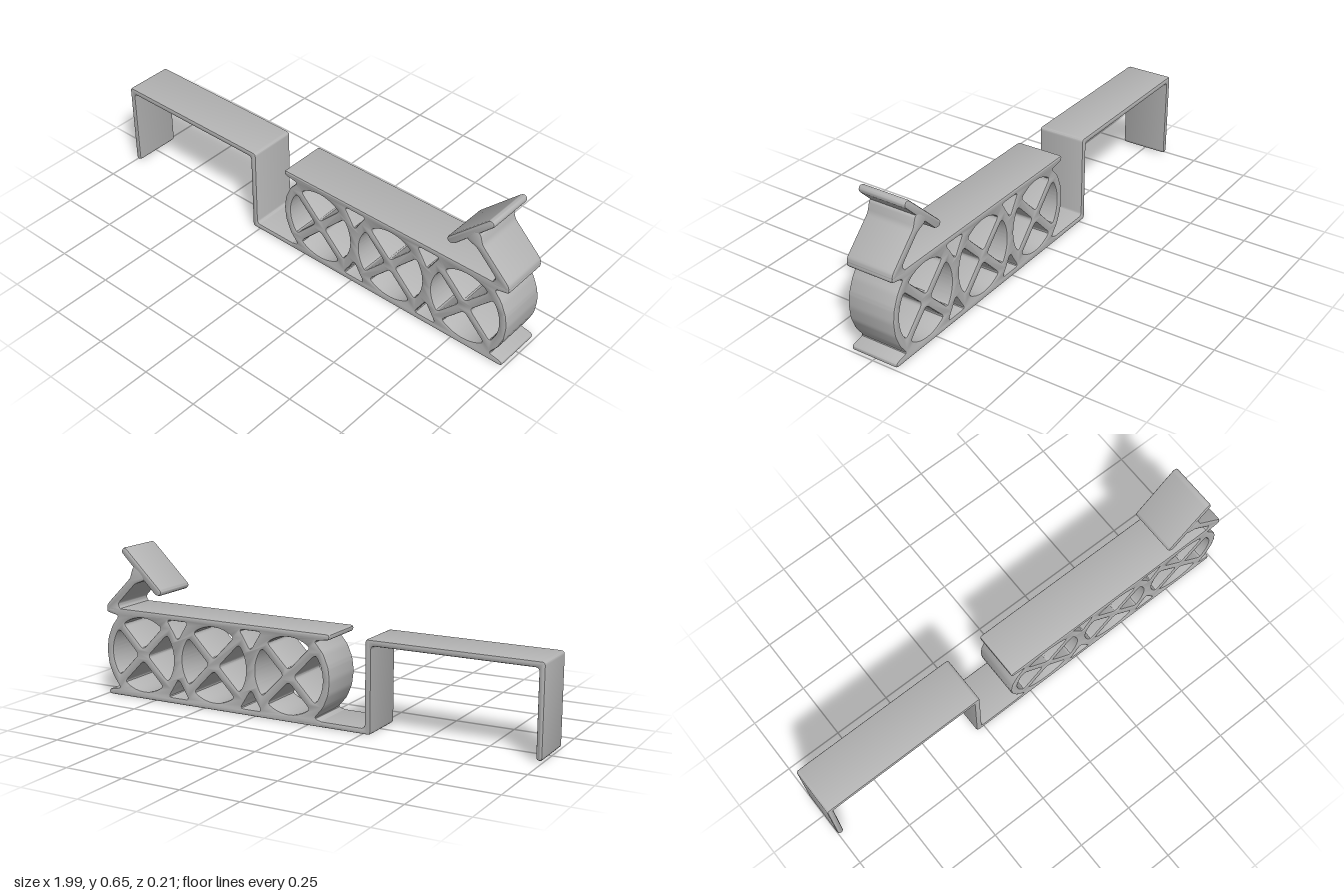
import * as THREE from 'three';
import { toCreasedNormals } from 'three/addons/utils/BufferGeometryUtils.js';

const DEPTH = 0.21, BEVEL = 0.008;

// Trace a closed polygon with rounded corners into a Shape or Path.
function rounded(path, pts, radius) {
  const v = pts.map(([x, y]) => new THREE.Vector2(x, y));
  v.forEach((p, i) => {
    const a = v[(i + v.length - 1) % v.length], b = v[(i + 1) % v.length];
    const toward = (q) => p.clone().lerp(q, Math.min(0.45, radius / p.distanceTo(q)));
    const s = toward(a), e = toward(b);
    if (i === 0) path.moveTo(s.x, s.y); else path.lineTo(s.x, s.y);
    path.quadraticCurveTo(p.x, p.y, e.x, e.y);
  });
  path.closePath();
  return path;
}

export function createModel() {
  const group = new THREE.Group();
  const material = new THREE.MeshStandardMaterial({ color: 0xb4b4b4 });
  material.name = 'plainGrey';

  function addPart(name, shape) {
    const geo = new THREE.ExtrudeGeometry(shape, {
      depth: DEPTH - 2 * BEVEL, bevelEnabled: true, bevelSize: BEVEL, bevelThickness: BEVEL,
      bevelOffset: -BEVEL, bevelSegments: 2, curveSegments: 3,
    });
    geo.translate(0, 0, BEVEL - DEPTH / 2);
    const mesh = new THREE.Mesh(toCreasedNormals(geo, 0.6), material);
    mesh.name = name;
    group.add(mesh);
  }

  // Hook strap: down-turned end, top run, drop and short foot
  addPart('hookStrap', rounded(new THREE.Shape(), [
    [-1, 0.01], [-0.974, 0.01], [-0.974, 0.364], [-0.287, 0.364], [-0.287, 0.004],
    [0.05, 0.004], [0.05, 0.03], [-0.26, 0.03], [-0.26, 0.39], [-1, 0.39],
  ], 0.014));

  // Cage: two rails joined by three touching rings, cut from one outline
  const leftSide = [
    [-0.102, 0.39], [-0.102, 0.366], [-0.035, 0.356], [-0.075, 0.31], [-0.098, 0.255],
    [-0.105, 0.2], [-0.098, 0.14], [-0.075, 0.085], [-0.035, 0.038], [-0.075, 0.028], [-0.075, 0.004],
  ];
  const rightSide = [
    [0.99, 0.004], [0.99, 0.026], [0.93, 0.038], [0.965, 0.085], [0.988, 0.14],
    [0.995, 0.2], [0.988, 0.255], [0.965, 0.31], [0.93, 0.356], [0.99, 0.368], [0.99, 0.39],
  ];
  const cage = rounded(new THREE.Shape(), [...leftSide, ...rightSide], 0.012);

  // Four openings in each ring leave a diagonal cross
  const cy = 0.198, rx = 0.157, ry = 0.161, centres = [0.086, 0.445, 0.803];
  for (const cx of centres) {
    for (let q = 0; q < 4; q++) {
      const mid = q * Math.PI / 2, pts = [];
      pts.push([cx + 0.027 * Math.cos(mid), cy + 0.027 * Math.sin(mid)]);
      for (let k = 0; k <= 8; k++) {
        const a = mid + (k / 8 - 0.5) * 2 * 0.665;
        pts.push([cx + rx * Math.cos(a), cy + ry * Math.sin(a)]);
      }
      cage.holes.push(rounded(new THREE.Path(), pts, 0.016));
    }
  }

  // Small triangular openings between neighbouring rings
  for (let i = 0; i < 2; i++) {
    const x = (centres[i] + centres[i + 1]) / 2;
    for (const s of [1, -1]) {
      cage.holes.push(rounded(new THREE.Path(), [
        [x - 0.05, cy + s * 0.166], [x + 0.05, cy + s * 0.166],
        [x + 0.022, cy + s * 0.122], [x, cy + s * 0.085], [x - 0.022, cy + s * 0.122],
      ], 0.014));
    }
  }
  addPart('ringCage', cage);

  // Slanted arm rising from the rail end, flared at both joints
  addPart('latchArm', rounded(new THREE.Shape(), [
    [0.90, 0.378], [0.99, 0.378], [0.988, 0.402], [0.965, 0.425], [0.862, 0.528], [0.848, 0.575],
    [0.82, 0.58], [0.785, 0.545], [0.79, 0.52], [0.835, 0.503], [0.925, 0.412], [0.922, 0.395],
  ], 0.012));

  // Press paddle across the arm tip
  addPart('latchPaddle', rounded(new THREE.Shape(), [
    [0.702, 0.474], [0.714, 0.461], [0.735, 0.466], [0.901, 0.632], [0.901, 0.645],
    [0.892, 0.655], [0.878, 0.654], [0.704, 0.486],
  ], 0.008));

  return group;
}
